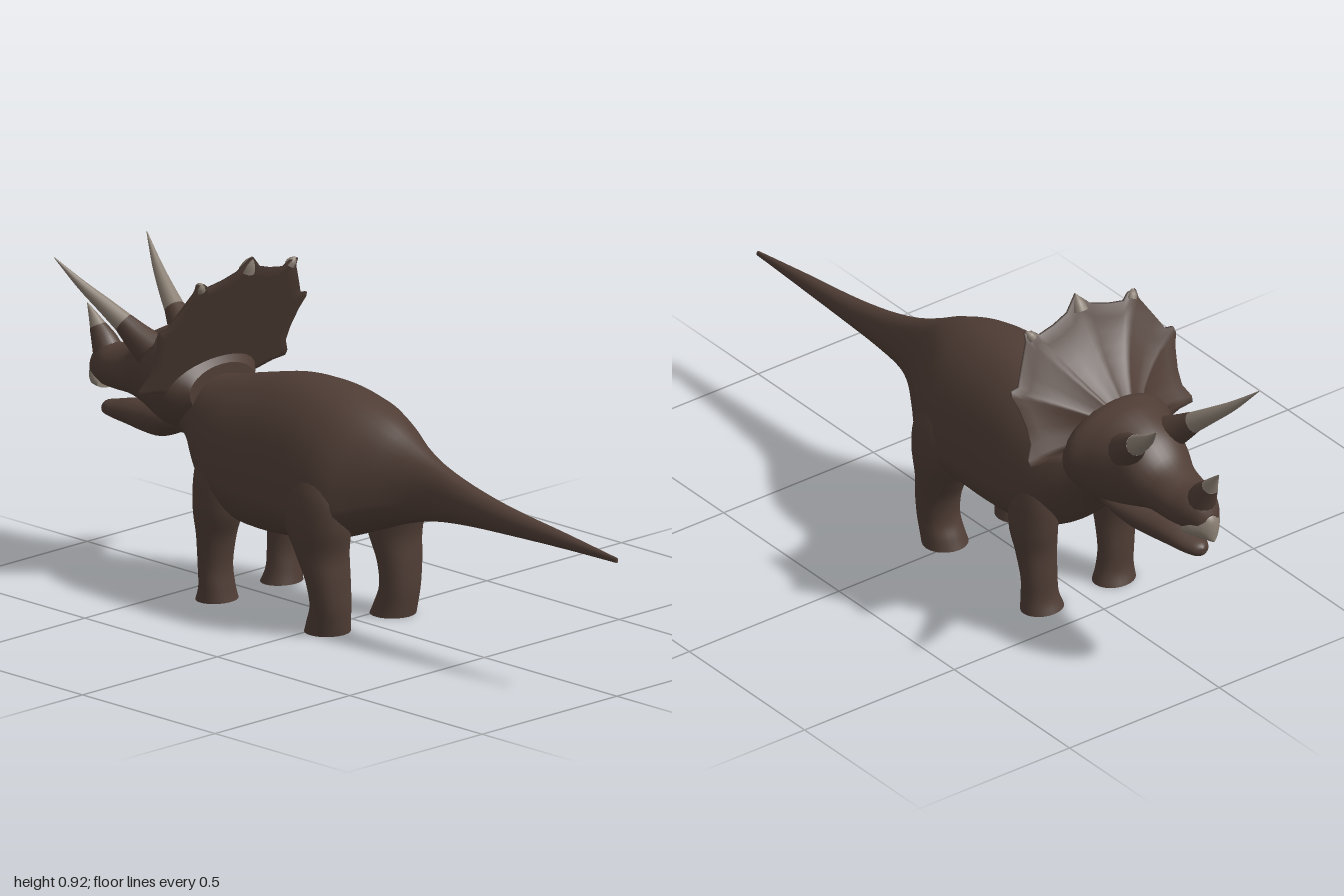
import * as THREE from 'three';

// Smooth (Catmull-Rom) blend through every number of the rows
function sample(rows, t) {
  const f = t * (rows.length - 1), i = Math.min(Math.floor(f), rows.length - 2), u = f - i;
  const at = k => rows[Math.max(0, Math.min(rows.length - 1, k))];
  const [a, b, c, d] = [at(i - 1), at(i), at(i + 1), at(i + 2)];
  return b.map((v, k) => v + 0.5 * u * (c[k] - a[k] + u * (2 * a[k] - 5 * v + 4 * c[k] - d[k]
    + u * (3 * (v - c[k]) + d[k] - a[k]))));
}

// Closed skin over cross-sections; point(row, angle) returns [x, y, z]
function loft(rows, point, sides = 28, steps = 5) {
  const pos = [], idx = [], n = (rows.length - 1) * steps;
  for (let j = 0; j <= n; j++) {
    const row = sample(rows, j / n);
    for (let i = 0; i < sides; i++) pos.push(...point(row, i / sides * Math.PI * 2));
  }
  for (let j = 0; j < n; j++) for (let i = 0; i < sides; i++) {
    const a = j * sides + i, b = j * sides + (i + 1) % sides;
    idx.push(a, b, a + sides, b, b + sides, a + sides);
  }
  // end caps with their own vertices
  for (const j of [0, n]) {
    const start = pos.length / 3, mid = [0, 0, 0];
    for (let i = 0; i < sides; i++) for (let k = 0; k < 3; k++) {
      const v = pos[(j * sides + i) * 3 + k];
      pos.push(v);
      mid[k] += v / sides;
    }
    pos.push(...mid);
    for (let i = 0; i < sides; i++) {
      const a = start + i, b = start + (i + 1) % sides;
      idx.push(...(j ? [a, b, start + sides] : [b, a, start + sides]));
    }
  }
  // turn the skin outwards
  let volume = 0;
  const p = i => new THREE.Vector3().fromArray(pos, i * 3);
  for (let i = 0; i < idx.length; i += 3) volume += p(idx[i]).dot(p(idx[i + 1]).cross(p(idx[i + 2])));
  if (volume < 0) idx.reverse();
  const g = new THREE.BufferGeometry();
  g.setAttribute('position', new THREE.Float32BufferAttribute(pos, 3));
  g.setIndex(idx);
  g.computeVertexNormals();
  return g;
}

// Row: z, top, bottom, half width, height of the widest line
const alongZ = ([z, top, bottom, w, mid], a) => {
  const s = Math.sin(a);
  return [w * Math.cos(a), mid + s * (s > 0 ? top - mid : mid - bottom), z];
};
// Row: y, back z, front z, inner x, outer x
const alongY = side => ([y, z0, z1, x0, x1], a) => [
  side * ((x0 + x1) / 2 + (x1 - x0) / 2 * Math.cos(a)), y, (z0 + z1) / 2 + (z0 - z1) / 2 * Math.sin(a)];

// Row: x, y, z, radius; rings stand across the line from first to last row
function horn(rows) {
  const first = new THREE.Vector3(...rows[0]), last = new THREE.Vector3(...rows[rows.length - 1]);
  const q = new THREE.Quaternion().setFromUnitVectors(new THREE.Vector3(0, 0, 1), last.sub(first).normalize());
  return loft(rows, ([x, y, z, r], a) =>
    new THREE.Vector3(r * Math.cos(a), r * Math.sin(a), 0).applyQuaternion(q).add(new THREE.Vector3(x, y, z)).toArray(), 14);
}

// Scalloped shield, thick at the skull and thin at the rim
function frill() {
  const half = [[0, .92], [.04, .883], [.09, .867], [.14, .858], [.16, .873], [.185, .875], [.187, .853],
    [.225, .79], [.245, .755], [.27, .752], [.273, .738], [.26, .705], [.25, .65], [.251, .61], [.272, .575],
    [.27, .56], [.225, .556], [.165, .54], [.09, .5], [0, .49]];
  const rim = [...half, ...half.slice(1, -1).reverse().map(([x, y]) => [-x, y])];
  const rows = [];
  for (let i = 0; i <= 8; i++) rows.push([.02 + .98 * i / 8, 1]);
  for (let i = 8; i >= 0; i--) rows.push([.02 + .98 * i / 8, 0]);
  return loft(rows, ([s, front], a) => {
    const [rx, ry] = rim[Math.round(a / (Math.PI * 2) * rim.length) % rim.length];
    const x = rx * s, y = .62 + (ry - .62) * s;
    const plane = -.375 - .43 * (.92 - y);
    return [x, y, plane - (front ? .14 * (1 - s) ** 2 + .005 : -.003)];
  }, rim.length, 1);
}

export function createModel() {
  const model = new THREE.Group();
  const skin = new THREE.MeshStandardMaterial({ color: 0x4f3d35 });
  const ivory = new THREE.MeshStandardMaterial({ color: 0x8a7f73 });
  skin.name = 'brown skin';
  ivory.name = 'pale horn';
  const add = (name, geometry, material = skin) => {
    const mesh = new THREE.Mesh(geometry, material);
    mesh.name = name;
    model.add(mesh);
    return mesh;
  };

  // Body from tail tip to neck
  add('bodyAndTail', loft([
    [1, .382, .368, .005, .375], [.8, .408, .366, .02, .385], [.6, .433, .36, .032, .393],
    [.45, .463, .353, .042, .4], [.33, .5, .34, .055, .4], [.24, .54, .318, .088, .39],
    [.15, .588, .285, .142, .37], [.06, .62, .25, .195, .34], [-.03, .639, .22, .207, .33],
    [-.12, .645, .208, .203, .33], [-.21, .637, .2, .2, .33], [-.3, .617, .202, .197, .34],
    [-.38, .597, .22, .185, .36], [-.45, .58, .275, .155, .4], [-.52, .57, .36, .115, .45],
    [-.6, .58, .4, .09, .49]], alongZ, 36));

  // Legs
  const hind = [[0, .092, -.03, .058, .185], [.03, .096, -.018, .064, .186], [.08, .1, 0, .068, .19],
    [.15, .098, -.01, .066, .2], [.22, .095, -.045, .06, .21], [.3, .11, -.085, .06, .219],
    [.39, .1, -.08, .08, .208], [.48, .05, -.04, .11, .165]];
  const fore = [[0, -.335, -.44, .058, .182], [.04, -.341, -.426, .07, .18], [.1, -.345, -.425, .075, .182],
    [.18, -.33, -.425, .072, .192], [.26, -.3, -.438, .07, .2], [.36, -.3, -.44, .08, .188],
    [.46, -.34, -.41, .11, .15]];
  for (const [side, label] of [[1, 'left'], [-1, 'right']]) {
    add(label + 'HindLeg', loft(hind, alongY(side), 24));
    add(label + 'FrontLeg', loft(fore, alongY(side), 24));

    // Brow horn: skin at the root, pale above
    add(label + 'BrowHornRoot', horn([[side * .068, .61, -.685, .05], [side * .084, .645, -.73, .038],
      [side * .095, .675, -.765, .029]]));
    add(label + 'BrowHorn', horn([[side * .094, .672, -.762, .029], [side * .113, .713, -.815, .022],
      [side * .14, .765, -.88, .013], [side * .172, .832, -.95, .001]]), ivory);

    // Pale point on the upper frill corner
    add(label + 'FrillPoint', horn([[side * .165, .856, -.405, .014], [side * .172, .868, -.4, .012],
      [side * .178, .878, -.395, .003]]), ivory);

    // Eye
    const eye = add(label + 'Eye', new THREE.SphereGeometry(.009, 12, 8), ivory);
    eye.scale.x = .5;
    eye.position.set(side * .1, .607, -.71);
  }

  // Head
  add('skull', loft([
    [-.49, .6, .46, .12, .54], [-.55, .68, .42, .175, .55], [-.61, .689, .4, .15, .55],
    [-.67, .674, .41, .122, .55], [-.73, .645, .435, .105, .55], [-.79, .598, .452, .085, .52],
    [-.86, .575, .453, .076, .51], [-.91, .572, .453, .062, .51], [-.95, .55, .452, .04, .505],
    [-.965, .52, .455, .02, .5]], alongZ));
  add('lowerJaw', loft([
    [-.54, .5, .4, .085, .45], [-.62, .47, .387, .095, .43], [-.69, .458, .36, .083, .415],
    [-.75, .447, .358, .068, .405], [-.82, .435, .364, .055, .4], [-.88, .42, .368, .043, .395],
    [-.92, .41, .372, .026, .39], [-.933, .4, .382, .006, .39]], alongZ));
  add('frill', frill());
  add('frillTopPoint', horn([[0, .878, -.397, .022], [0, .9, -.387, .015], [0, .92, -.377, .001]]), ivory);

  // Beak and nose horn
  add('beak', loft([[-.905, .49, .449, .055, .465], [-.93, .512, .446, .054, .475],
    [-.955, .522, .443, .037, .48], [-.973, .505, .441, .018, .47], [-.979, .475, .442, .004, .46]], alongZ), ivory);
  add('noseHornRoot', horn([[0, .53, -.915, .045], [0, .57, -.935, .036], [0, .605, -.96, .023]]));
  add('noseHorn', horn([[0, .603, -.959, .023], [0, .63, -.977, .013], [0, .66, -.999, .001]]), ivory);

  return model;
}
